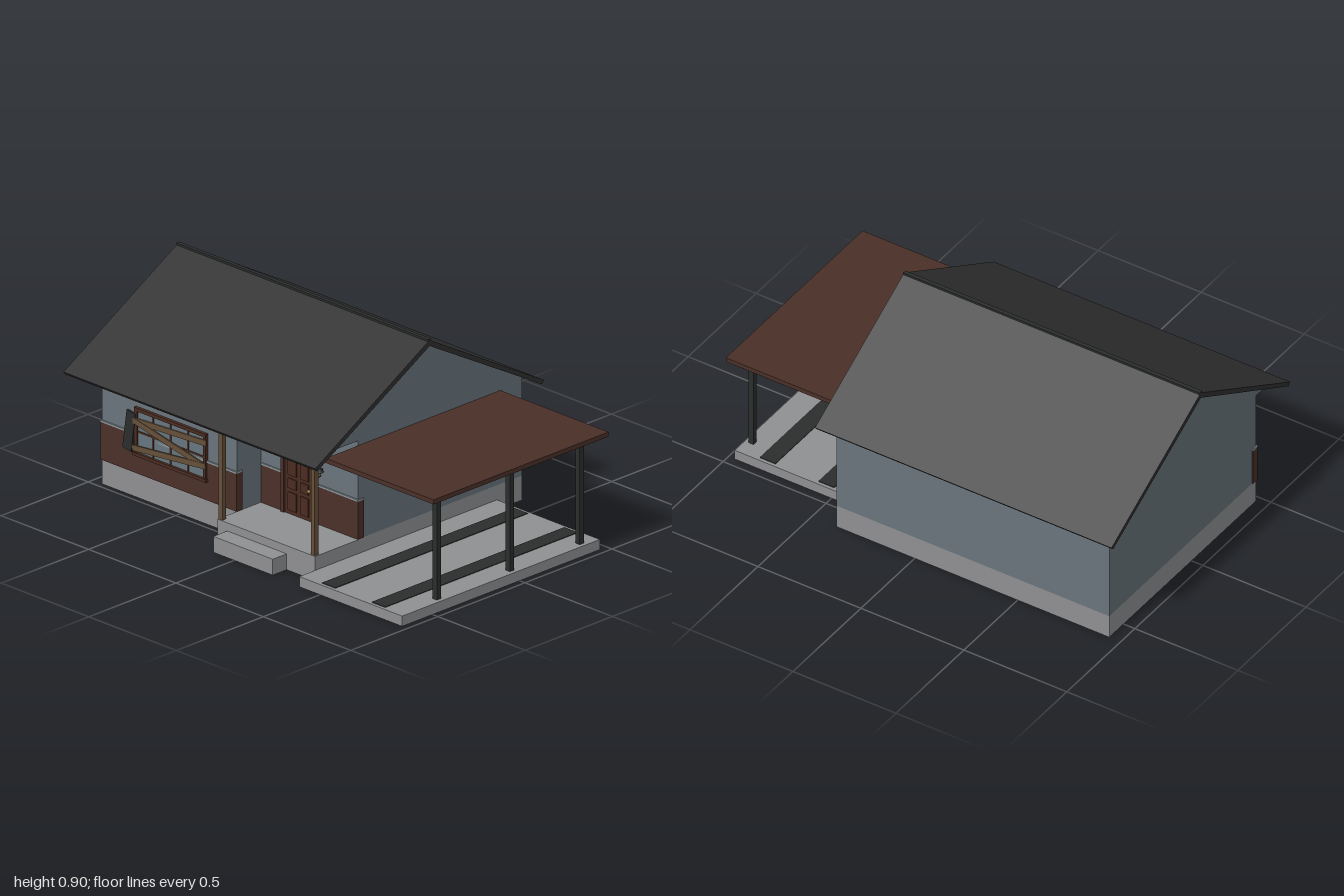
import * as THREE from 'three';

const mat = (name, color) => {
  const m = new THREE.MeshStandardMaterial({ color });
  m.name = name;
  return m;
};

export function createModel() {
  const house = new THREE.Group();
  house.name = 'house';
  const wall = mat('blueGreySiding', 0x69747b);
  const concrete = mat('concrete', 0x8f9092);
  const brown = mat('brownPaint', 0x4a3028);
  const roof = mat('roofing', 0x303030);
  const black = mat('darkMetal', 0x2c2e2e);
  const wood = mat('wood', 0x65503a);
  const glass = mat('glass', 0x66767e);
  const trim = mat('paleTrim', 0x8a959a);
  const door = mat('doorBrown', 0x4a2c20);
  const brass = mat('brass', 0x9a7a3c);

  const add = (name, geo, m, parent = house) => {
    const mesh = new THREE.Mesh(geo, m);
    mesh.name = name;
    parent.add(mesh);
    return mesh;
  };
  // Box given by its limits on each axis
  const box = (name, m, x0, x1, y0, y1, z0, z1, parent) => {
    const b = add(name, new THREE.BoxGeometry(x1 - x0, y1 - y0, z1 - z0), m, parent);
    b.position.set((x0 + x1) / 2, (y0 + y1) / 2, (z0 + z1) / 2);
    return b;
  };
  // Outline in (z, y), extruded along x
  const prism = (name, m, pts, x0, x1) => {
    const shape = new THREE.Shape(pts.map(([z, y]) => new THREE.Vector2(-z, y)));
    const geo = new THREE.ExtrudeGeometry(shape, { depth: x1 - x0, bevelEnabled: false });
    geo.rotateY(Math.PI / 2);
    geo.translate(x0, 0, 0);
    return add(name, geo, m);
  };

  // Foundation, porch, step and carport slab
  box('foundation', concrete, -0.945, 0.38, 0, 0.108, -0.605, 0.335);
  box('frontFoundation', concrete, -0.945, -0.175, 0, 0.108, 0.335, 0.475);
  box('porchSlab', concrete, -0.175, 0.382, 0, 0.106, 0.335, 0.585);
  box('porchStep', concrete, -0.12, 0.22, 0, 0.07, 0.585, 0.665);
  box('carportSlab', concrete, 0.382, 0.97, 0, 0.045, -0.46, 0.675);
  for (const x of [0.535, 0.82])
    box('drivewayStrip', black, x - 0.038, x + 0.038, 0.044, 0.048, -0.445, 0.66);

  // Walls, with the right part set back behind the porch
  box('mainWalls', wall, -0.945, 0.38, 0.108, 0.54, -0.605, 0.335);
  box('frontRoomWalls', wall, -0.945, -0.175, 0.108, 0.54, 0.335, 0.475);
  prism('gable', wall, [[0.575, 0.54], [-0.605, 0.54], [-0.015, 0.868]], -0.945, 0.38);

  // Wainscot wrapping the front corners, with a pale ledge
  for (const [x0, x1, z] of [[-0.949, -0.171, 0.48], [-0.171, 0.384, 0.34]]) {
    box('wainscot', brown, x0, x1, 0.108, 0.274, z - 0.035, z);
    box('wainscotLedge', trim, x0, x1, 0.274, 0.282, z - 0.035, z + 0.002);
  }

  // Roof slabs meeting at the ridge
  const slope = 0.557, ridgeZ = -0.015;
  for (const s of [1, -1]) {
    const pts = [[0, 0.87], [0.645, 0.87 - 0.645 * slope], [0.657, 0.893 - 0.66 * slope], [0, 0.896]];
    const outline = pts.map(([z, y]) => [ridgeZ + s * z, y]);
    prism('roofSlope', roof, s > 0 ? outline : outline.reverse(), -1, 0.44);
  }
  box('ridgeCap', black, -1, 0.44, 0.885, 0.9, ridgeZ - 0.009, ridgeZ + 0.009);

  // Porch posts
  for (const x of [-0.163, 0.365])
    box('porchPost', wood, x - 0.011, x + 0.011, 0.106, 0.54, 0.559, 0.581);

  // Carport
  box('carportRoof', brown, 0.382, 1, 0.5, 0.52, -0.48, 0.525);
  for (const z of [0.445, 0.025, -0.375])
    box('carportPost', black, 0.927, 0.951, 0.045, 0.5, z - 0.012, z + 0.012);

  // Boarded window
  const win = new THREE.Group();
  win.name = 'boardedWindow';
  house.add(win);
  box('windowPane', glass, -0.74, -0.35, 0.2, 0.39, 0.475, 0.482, win);
  for (const x of [-0.742, -0.348])
    box('windowJamb', door, x - 0.008, x + 0.008, 0.195, 0.4, 0.475, 0.488, win);
  box('windowHead', door, -0.75, -0.34, 0.385, 0.4, 0.475, 0.489, win);
  box('windowSill', door, -0.755, -0.335, 0.19, 0.204, 0.475, 0.494, win);
  for (const x of [-0.645, -0.545, -0.445])
    box('windowMullion', door, x - 0.004, x + 0.004, 0.2, 0.39, 0.478, 0.485, win);
  box('windowTransom', door, -0.74, -0.35, 0.291, 0.299, 0.478, 0.485, win);
  // Boards: start and end points
  [[-0.755, 0.342, -0.335, 0.362], [-0.75, 0.342, -0.36, 0.262], [-0.755, 0.222, -0.335, 0.262]]
    .forEach(([x0, y0, x1, y1], i) => {
      const b = add('board', new THREE.BoxGeometry(Math.hypot(x1 - x0, y1 - y0), 0.025, 0.006), wood, win);
      b.position.set((x0 + x1) / 2, (y0 + y1) / 2, 0.489 + i * 0.002);
      b.rotation.z = Math.atan2(y1 - y0, x1 - x0);
    });
  // Loose shutter hanging at an angle
  const shutter = add('looseShutter', new THREE.BoxGeometry(0.05, 0.172, 0.01), black, win);
  shutter.position.set(-0.777, 0.288, 0.486);
  shutter.rotation.z = -0.14;

  // Front door with six raised panels
  const entry = new THREE.Group();
  entry.name = 'frontDoor';
  house.add(entry);
  box('doorLeaf', door, -0.035, 0.13, 0.108, 0.39, 0.335, 0.343, entry);
  for (const x of [-0.041, 0.136])
    box('doorJamb', brown, x - 0.009, x + 0.009, 0.108, 0.405, 0.335, 0.35, entry);
  box('doorHead', brown, -0.05, 0.145, 0.388, 0.405, 0.335, 0.351, entry);
  for (const x of [0.013, 0.082])
    for (const [y0, y1] of [[0.125, 0.205], [0.222, 0.265], [0.28, 0.355]])
      box('doorPanel', door, x - 0.024, x + 0.024, y0, y1, 0.342, 0.347, entry);
  const knob = add('doorKnob', new THREE.SphereGeometry(0.008, 10, 8), brass, entry);
  knob.position.set(0.113, 0.242, 0.351);

  // Wall lantern
  const lamp = new THREE.Group();
  lamp.name = 'wallLantern';
  lamp.position.set(0.175, 0, 0.357);
  house.add(lamp);
  box('lampBracket', black, -0.005, 0.005, 0.35, 0.358, -0.022, 0, lamp);
  const part = (name, r0, r1, h, y, m) =>
    (add(name, new THREE.CylinderGeometry(r0, r1, h, 8), m, lamp).position.y = y);
  part('lampFinial', 0.003, 0.005, 0.01, 0.37, black);
  part('lampHood', 0.006, 0.023, 0.016, 0.358, black);
  part('lampGlass', 0.013, 0.009, 0.018, 0.341, brass);
  part('lampBase', 0.011, 0.008, 0.006, 0.33, black);

  return house;
}
